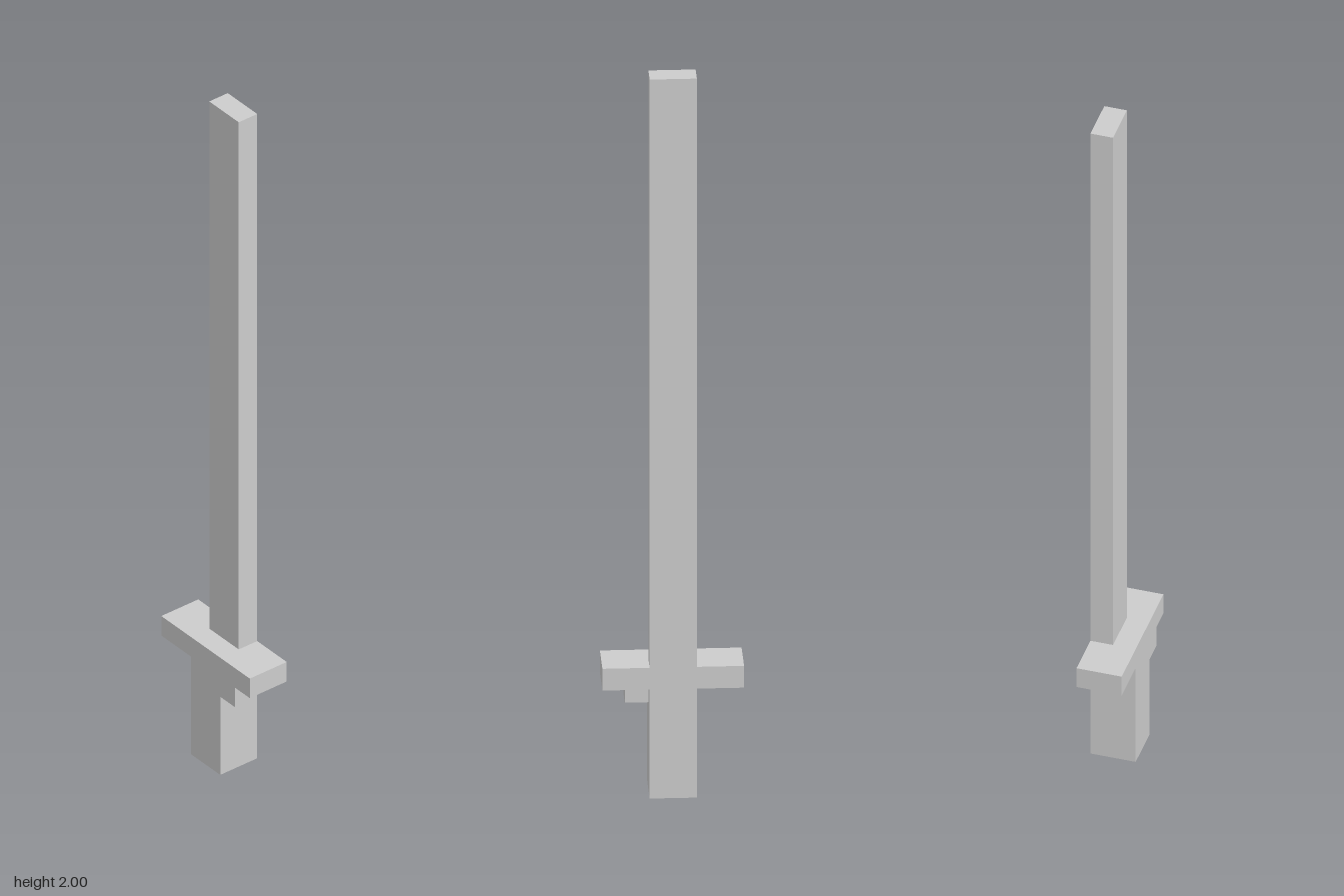
import * as THREE from 'three';

// One grid unit: the sword is 33 units tall
const U = 2 / 33;

export function createModel() {
  const group = new THREE.Group();
  const gray = new THREE.MeshStandardMaterial({ color: 0xcccccc });
  gray.name = 'light gray';

  // Box given by its lower and upper corners in grid units
  function block(name, lo, hi) {
    const size = hi.map((v, i) => (v - lo[i]) * U);
    const mesh = new THREE.Mesh(new THREE.BoxGeometry(...size), gray);
    mesh.position.set(...hi.map((v, i) => ((v + lo[i]) / 2) * U));
    mesh.name = name;
    group.add(mesh);
  }

  block('handle', [-1, 0, -1], [1, 5, 1]);
  block('guard', [-3, 5, -1], [3, 6, 1]);
  // Blade sits flush with the back of the guard
  block('blade', [-1, 6, -1], [1, 33, 0]);
  // Small trigger block under the left side of the guard
  block('trigger', [1, 4, 0], [2, 5, 1]);

  return group;
}
